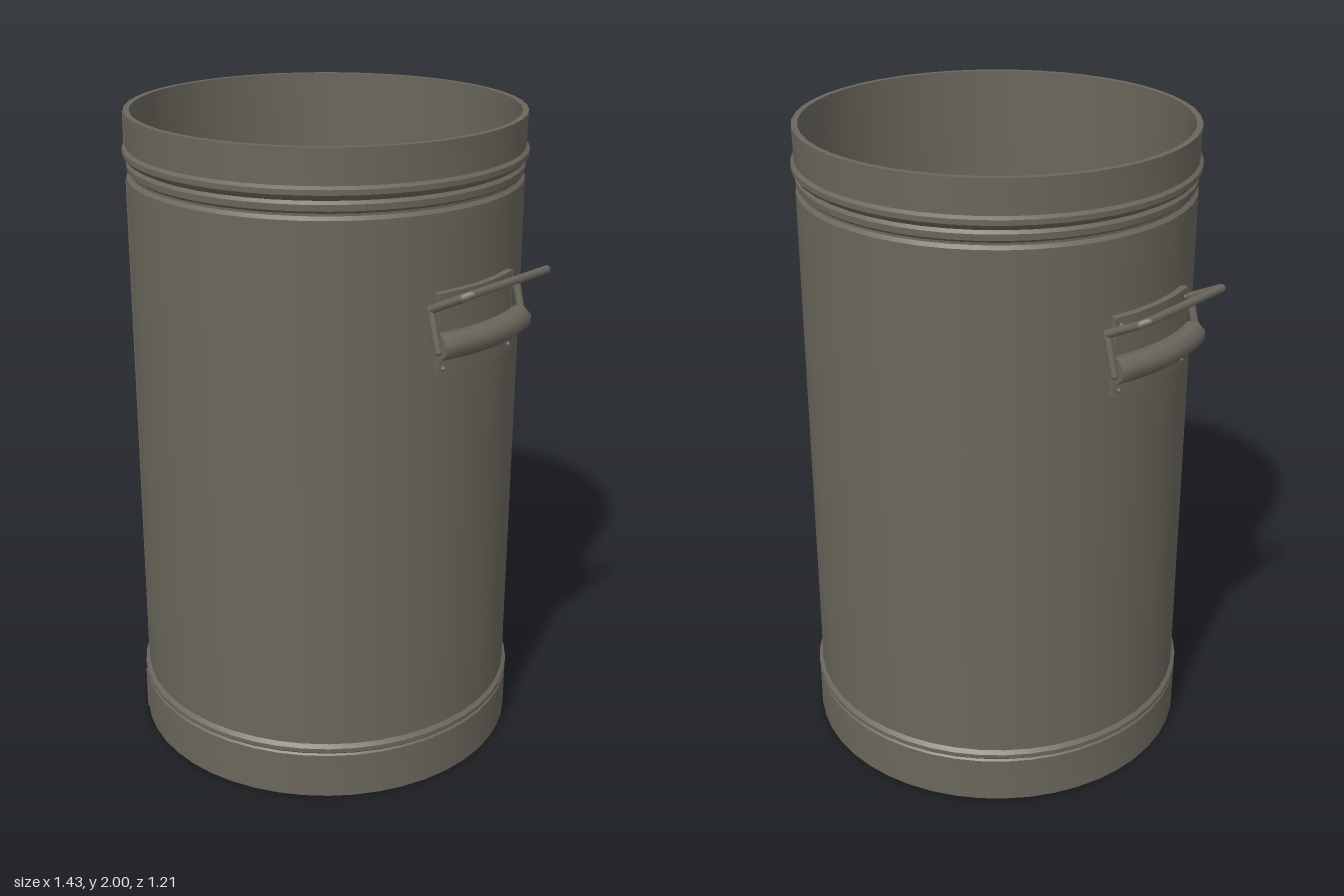
import * as THREE from 'three';
import { toCreasedNormals } from 'three/addons/utils/BufferGeometryUtils.js';

const metal = new THREE.MeshStandardMaterial({ color: 0x6a665c });
metal.name = 'dull grey metal';

function part(name, geometry, parent) {
  const mesh = new THREE.Mesh(geometry, metal);
  mesh.name = name;
  parent.add(mesh);
  return mesh;
}

// Turned solid from [radius, height] pairs, listed from the outside bottom upwards
function turned(pairs, segments, start = 0, length = Math.PI * 2) {
  const points = pairs.map(([r, y]) => new THREE.Vector2(r, y));
  return toCreasedNormals(new THREE.LatheGeometry(points, segments, start, length), 0.55);
}

// Straight round rod between two points
function rod(name, a, b, radius, parent) {
  const dir = b.clone().sub(a);
  const mesh = part(name, new THREE.CylinderGeometry(radius, radius, dir.length(), 8), parent);
  mesh.position.copy(a).add(b).multiplyScalar(0.5);
  mesh.quaternion.setFromUnitVectors(new THREE.Vector3(0, 1, 0), dir.normalize());
}

// Handle for the +x side
function makeHandle(name) {
  const handle = new THREE.Group();
  handle.name = name;

  // Curved mounting plate, following the wall
  const half = 0.267;
  part('mountingPlate', turned(
    [[0.59, 1.345], [0.612, 1.345], [0.612, 1.585], [0.59, 1.585], [0.59, 1.345]],
    8, Math.PI / 2 - half, half * 2), handle);
  for (const side of [-1, 1]) {
    const edge = part('plateEdge', new THREE.BoxGeometry(0.024, 0.24, 0.004), handle);
    edge.position.set(0.601 * Math.cos(half), 1.465, side * 0.601 * Math.sin(half));
    edge.rotation.y = -side * half;

    // Rivets at the plate corners
    for (const y of [1.365, 1.56]) {
      const rivet = part('rivet', new THREE.SphereGeometry(0.008, 8, 6), handle);
      rivet.position.set(0.612 * Math.cos(0.24), y, side * 0.612 * Math.sin(0.24));
    }
  }

  // Bowed sleeve that carries the bail, an octagonal section swept along an arc
  const section = new THREE.Shape();
  for (let i = 0; i < 8; i++) {
    const a = (i + 0.5) * Math.PI / 4;
    section[i ? 'lineTo' : 'moveTo'](0.039 * Math.cos(a), 0.039 * Math.sin(a));
  }
  section.closePath();
  const bow = new THREE.QuadraticBezierCurve3(
    new THREE.Vector3(0.606, 1.44, -0.18),
    new THREE.Vector3(0.662, 1.44, 0),
    new THREE.Vector3(0.606, 1.44, 0.18));
  part('hingeSleeve', toCreasedNormals(
    new THREE.ExtrudeGeometry(section, { steps: 10, extrudePath: bow, bevelEnabled: false }), 0.9), handle);

  // Bent wire bail
  const halfBail = [[0.612, 1.44, 0.15], [0.612, 1.43, 0.19], [0.582, 1.545, 0.19],
    [0.685, 1.598, 0.184], [0.703, 1.608, 0.165]];
  const path = [...halfBail, ...halfBail.map(([x, y, z]) => [x, y, -z]).reverse()]
    .map((p) => new THREE.Vector3(...p));
  path.forEach((p, i) => {
    part('bailBend', new THREE.SphereGeometry(0.012, 8, 6), handle).position.copy(p);
    if (i) rod('bailWire', path[i - 1], p, 0.012, handle);
  });
  return handle;
}

export function createModel() {
  const can = new THREE.Group();
  can.name = 'openCan';

  // Hollow shell: flared foot, straight wall, beaded neck, rim and inside
  part('canShell', turned([
    [0, 0], [0.605, 0], [0.605, 0.145], [0.599, 0.15],
    [0.606, 0.157], [0.606, 0.17], [0.594, 0.18],
    [0.592, 1.805], [0.582, 1.815], [0.582, 1.822],
    [0.591, 1.83], [0.592, 1.848], [0.583, 1.857],
    [0.592, 1.862], [0.602, 1.875], [0.602, 1.89], [0.592, 1.898],
    [0.594, 2], [0.576, 2], [0.574, 0.03], [0, 0.03]], 48), can);

  // Lapped sheet seams on the front
  for (const [r, y, h] of [[0.592, 1, 1.6], [0.593, 1.95, 0.1], [0.605, 0.075, 0.14]]) {
    const angle = Math.asin(-0.355 / r);
    const seam = part('lapSeam', new THREE.BoxGeometry(0.012, h, 0.006), can);
    seam.position.set(r * Math.sin(angle), y, r * Math.cos(angle));
    seam.rotation.y = angle;
  }

  // One handle on each side
  can.add(makeHandle('leftHandle'));
  const right = makeHandle('rightHandle');
  right.rotation.y = Math.PI;
  can.add(right);
  return can;
}
